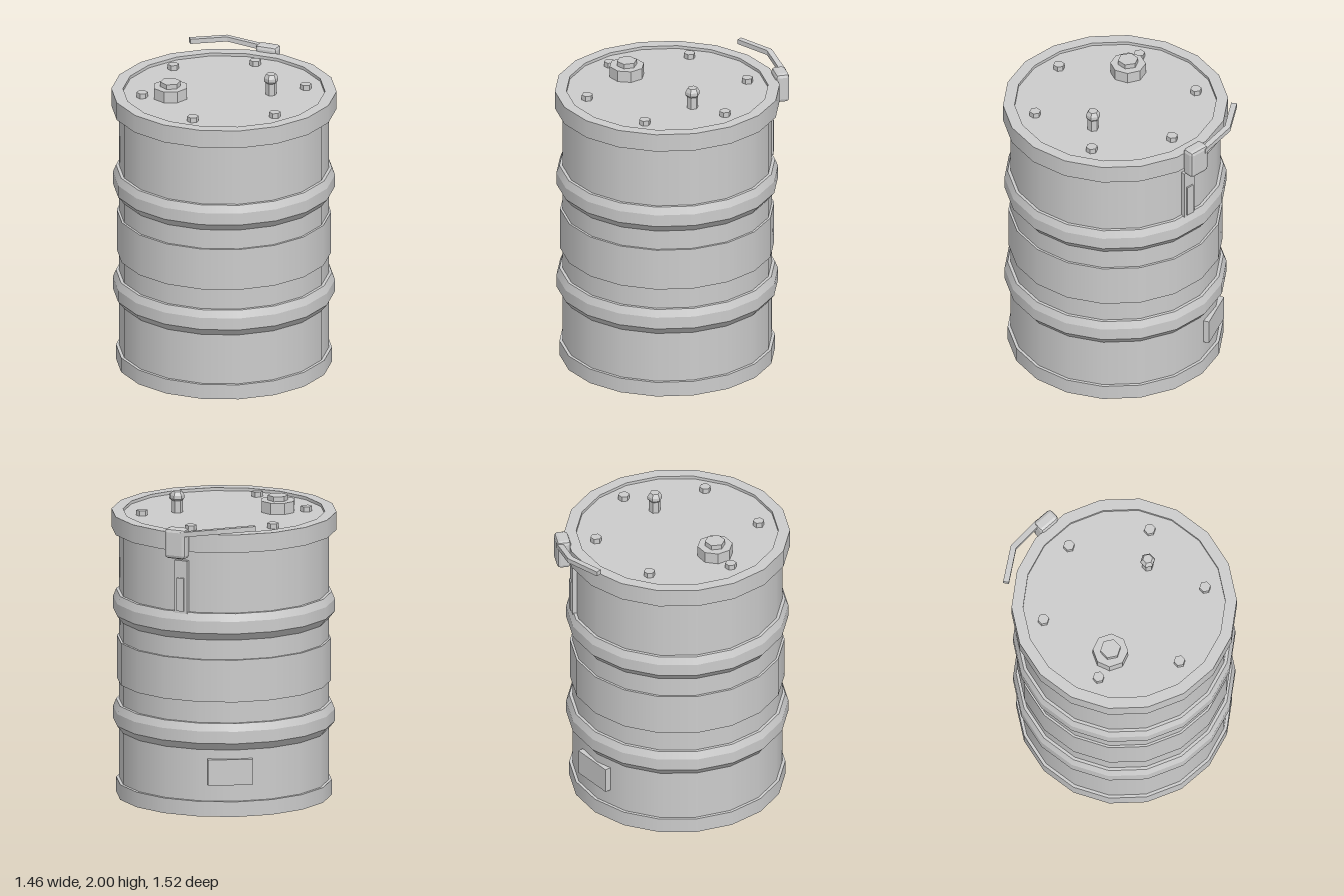
import * as THREE from 'three';
import { mergeGeometries } from 'three/addons/utils/BufferGeometryUtils.js';
import { RoundedBoxGeometry } from 'three/addons/geometries/RoundedBoxGeometry.js';

const SIDES = 18;
const CENTRE_Z = 0.04; // the drum sits forward to balance the latch behind it
const LID_Y = 1.86;

// Lathe that is smooth around the axis and creased between profile segments
function creasedLathe(profile) {
  const pts = profile.map(([r, y]) => new THREE.Vector2(r, y));
  return mergeGeometries(pts.slice(1).map((p, i) =>
    new THREE.LatheGeometry([pts[i], p], SIDES, Math.PI / SIDES)));
}

function faceted(geometry) {
  const g = geometry.index ? geometry.toNonIndexed() : geometry;
  g.computeVertexNormals();
  return g;
}

// Upright faceted prism from y0 to y1
function prism(rTop, rBottom, y0, y1, sides) {
  return faceted(new THREE.CylinderGeometry(rTop, rBottom, y1 - y0, sides).translate(0, (y0 + y1) / 2, 0));
}

// Flat bar through three points with a mitred bend
function bentBar(points, width, height) {
  const g = new THREE.BoxGeometry(2, height, width, 2, 1, 1);
  const pos = g.attributes.position;
  for (let i = 0; i < pos.count; i++) {
    const k = Math.round(pos.getX(i)) + 1;
    const a = points[Math.max(k - 1, 0)], b = points[Math.min(k + 1, 2)];
    const dx = b[0] - a[0], dz = b[2] - a[2], len = Math.hypot(dx, dz);
    const off = pos.getZ(i), p = points[k];
    pos.setXYZ(i, p[0] - dz / len * off, p[1] + pos.getY(i), p[2] + dx / len * off);
  }
  return faceted(g);
}

export function createModel() {
  const model = new THREE.Group();
  model.name = 'drum';
  const steel = new THREE.MeshStandardMaterial({ color: 0xcccccc });
  steel.name = 'grey steel';

  function add(name, geometry, x = 0, y = 0, z = 0) {
    const mesh = new THREE.Mesh(geometry, steel);
    mesh.name = name;
    mesh.position.set(x, y, z);
    model.add(mesh);
    return mesh;
  }
  const turned = (name, profile, y = 0) => add(name, creasedLathe(profile), 0, y, CENTRE_Z);

  // Shell, rims and end plates
  turned('shell', [[0.68, 0.05], [0.68, 1.8]]);
  turned('bottomRim', [[0.655, 0.03], [0.655, 0], [0.7, 0], [0.7, 0.1], [0.67, 0.1]]);
  turned('bottomPlate', [[0, 0.03], [0.66, 0.03]]);
  turned('lidClampRing', [[0.67, 1.76], [0.73, 1.76], [0.73, 1.88], [0.655, 1.88], [0.655, LID_Y]]);
  turned('lid', [[0.66, LID_Y], [0, LID_Y]]);

  // Rolling hoops and the middle band
  for (const y of [0.44, 1.17]) {
    turned('rollingHoop', [[0.68, 0], [0.72, 0.05], [0.72, 0.13], [0.7, 0.18], [0.67, 0.18]], y);
  }
  turned('middleBand', [[0.67, 0.76], [0.695, 0.76], [0.695, 1.04], [0.67, 1.04]]);

  // Lid bolts
  for (let i = 0; i < 6; i++) {
    const a = i * Math.PI / 3;
    add('lidBolt', prism(0.037, 0.037, LID_Y - 0.01, 1.894, 6),
      0.535 * Math.sin(a), 0, CENTRE_Z + 0.535 * Math.cos(a));
  }

  // Filler bung with hexagonal nut
  add('bungCollar', prism(0.115, 0.115, LID_Y - 0.01, 1.935, 8), -0.295, 0, 0.235);
  add('bungNut', prism(0.067, 0.067, 1.93, 1.967, 6), -0.295, 0, 0.235);

  // Vent valve
  add('ventStem', prism(0.037, 0.037, LID_Y - 0.01, 1.95, 6), 0.29, 0, -0.055);
  add('ventCap', mergeGeometries([
    prism(0.047, 0.037, 1.94, 1.952, 6),
    prism(0.047, 0.047, 1.952, 1.975, 6),
    prism(0.032, 0.047, 1.975, 2, 6),
  ]), 0.29, 0, -0.055);

  // Clamp latch and its lever
  add('latchBlock', faceted(new RoundedBoxGeometry(0.15, 0.2, 0.092, 1, 0.024)), 0, 1.82, -0.716);
  add('latchLever', bentBar([[-0.485, 1.93, -0.565], [-0.285, 1.922, -0.715], [-0.04, 1.885, -0.745]], 0.038, 0.032));

  // Hasp plate below the latch
  add('haspPlate', new THREE.BoxGeometry(0.09, 0.35, 0.06), 0, 1.515, -0.628);
  add('haspStrip', new THREE.BoxGeometry(0.05, 0.22, 0.03), 0, 1.465, -0.653);

  // Blank data plate low on the back, tangent to the shell
  const angle = THREE.MathUtils.degToRad(27);
  const plate = add('dataPlate', new THREE.BoxGeometry(0.29, 0.17, 0.05),
    -0.67 * Math.sin(angle), 0.295, CENTRE_Z - 0.67 * Math.cos(angle));
  plate.rotation.y = angle;

  return model;
}
